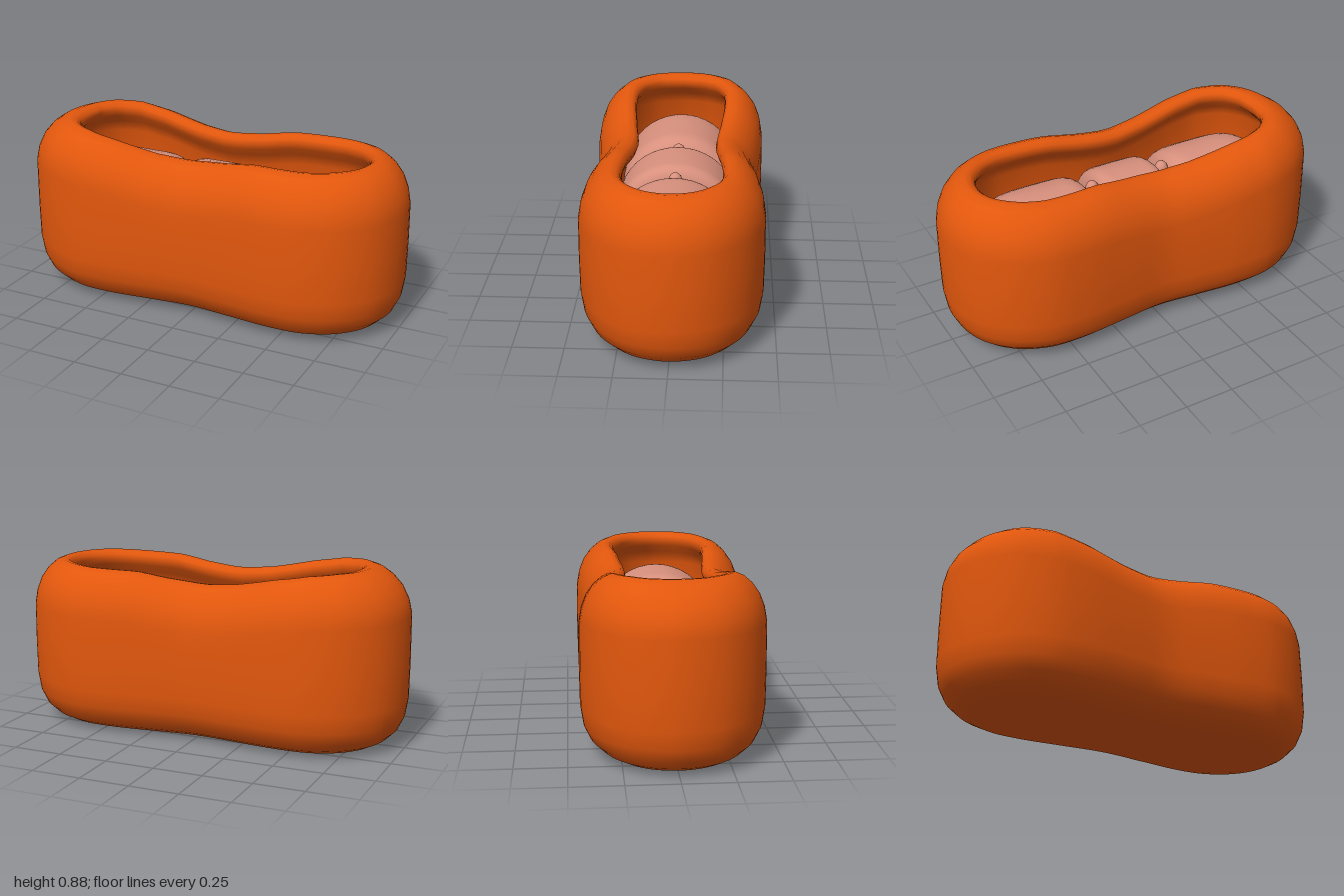
import * as THREE from 'three';

// waisted plan outline, as [x, z] for one quarter
const quarter = [[1, 0], [0.95, 0.2], [0.82, 0.345], [0.64, 0.425], [0.45, 0.438], [0.22, 0.418]];

function planCurve() {
  const half = [...quarter, [0, 0.398], ...quarter.slice(1).reverse().map(([x, z]) => [-x, z])];
  const all = [
    ...half.map(([x, z]) => [x, -z]),
    ...[[-1, 0]],
    ...half.slice(1).reverse(),
  ];
  return new THREE.CatmullRomCurve3(all.map(([x, z]) => new THREE.Vector3(x, 0, z)), true);
}

// height of the rim along x
const rimKeys = [[-1, 0.885], [-0.8, 0.885], [-0.6, 0.874], [-0.4, 0.845], [-0.2, 0.805],
  [-0.03, 0.79], [0.15, 0.81], [0.3, 0.833], [0.6, 0.836], [0.84, 0.842], [1, 0.842]];

function rimHeight(x) {
  let i = 0;
  while (i < rimKeys.length - 2 && x > rimKeys[i + 1][0]) i++;
  const [x0, y0] = rimKeys[i], [x1, y1] = rimKeys[i + 1];
  return THREE.MathUtils.lerp(y0, y1, THREE.MathUtils.clamp((x - x0) / (x1 - x0), 0, 1));
}

// sweeps rings [inset, y, fromRim, flat] around the plan outline
function sweepRings(rings, segments = 112) {
  const curve = planCurve();
  const pos = [], idx = [];
  rings.forEach(([inset, y, fromRim, flat], r) => {
    for (let i = 0; i < segments; i++) {
      const p = curve.getPoint(i / segments), t = curve.getTangent(i / segments);
      const nx = -t.z, nz = t.x;
      const d = fromRim ? inset * (1 + 0.3 * Math.max(0, -nx) ** 2) : inset;
      const x = p.x - nx * d;
      pos.push(x, fromRim ? rimHeight(p.x) - y : y, flat ? 0 : p.z - nz * d);
      if (r < rings.length - 1) {
        const a = r * segments + i, b = r * segments + (i + 1) % segments;
        idx.push(a, b, a + segments, b, b + segments, a + segments);
      }
    }
  });
  const g = new THREE.BufferGeometry();
  g.setAttribute('position', new THREE.Float32BufferAttribute(pos, 3));
  g.setIndex(idx);
  g.computeVertexNormals();
  return g;
}

// rounded kernel turned around the x axis, with dimpled ends
function kernelGeometry(length, radius, outerRound) {
  const pts = [], n = 28;
  for (let i = 0; i <= n; i++) {
    const a = Math.PI * (i / n - 0.5), s = Math.sin(a), c = Math.cos(a);
    const power = s > 0 ? outerRound : 0.3;
    const dimple = 0.025 * Math.exp(-((c / 0.25) ** 2)) * Math.sign(s);
    const x = Math.sign(s) * Math.abs(s) ** power * length / 2 - dimple;
    pts.push(new THREE.Vector2(i % n ? radius * c ** 0.45 : 0, x));
  }
  return new THREE.LatheGeometry(pts, 40).rotateZ(-Math.PI / 2);
}

export function createModel() {
  const shellOrange = new THREE.MeshStandardMaterial({ color: 0xe2570d });
  shellOrange.name = 'shell orange';
  const kernelPink = new THREE.MeshStandardMaterial({ color: 0xd8907d });
  kernelPink.name = 'kernel pink';
  const model = new THREE.Group();
  const add = (name, geometry, material, x = 0, y = 0, z = 0) => {
    const mesh = new THREE.Mesh(geometry, material);
    mesh.name = name;
    mesh.position.set(x, y, z);
    model.add(mesh);
    return mesh;
  };

  // thick hollow shell: underside, outer wall, rolled rim, inner wall, floor
  add('shell', sweepRings([
    [0.37, 0.005, false, true], [0.36, 0.005], [0.25, 0.005], [0.19, 0.006], [0.14, 0.016],
    [0.09, 0.042], [0.045, 0.085], [0.014, 0.15], [0, 0.24], [-0.002, 0.42],
    [0, 0.23, true], [0.012, 0.16, true], [0.035, 0.1, true], [0.07, 0.05, true],
    [0.11, 0.016, true], [0.15, 0, true], [0.18, 0.005, true], [0.198, 0.022, true],
    [0.203, 0.045, true], [0.192, 0.075, true], [0.16, 0.115, true], [0.12, 0.18, true],
    [0.1, 0.42], [0.11, 0.2], [0.16, 0.11], [0.25, 0.09], [0.36, 0.09], [0.37, 0.09, false, true],
  ]), shellOrange);

  // skin lying under the kernels
  add('kernelSkin', sweepRings([
    [0.12, 0.3], [0.13, 0.42], [0.18, 0.5], [0.27, 0.53], [0.36, 0.54], [0.37, 0.54, false, true],
  ]), kernelPink);

  // three kernels in a row
  const kernels = [
    { name: 'rightKernel', x: -0.495, length: 0.57, round: 0.65, turn: Math.PI },
    { name: 'middleKernel', x: 0, length: 0.37, round: 0.3, turn: 0 },
    { name: 'leftKernel', x: 0.49, length: 0.56, round: 0.65, turn: 0 },
  ];
  for (const k of kernels) {
    const mesh = add(k.name, kernelGeometry(k.length, 0.29, k.round), kernelPink, k.x, 0.41);
    mesh.rotation.y = k.turn;
    mesh.scale.z = 1.05;
  }

  // small knots joining neighbouring kernels
  for (const side of [-1, 1]) {
    const knot = add('kernelKnot', new THREE.SphereGeometry(0.035, 16, 12), kernelPink, side * 0.2, 0.64);
    knot.scale.y = 1.3;
  }
  return model;
}
